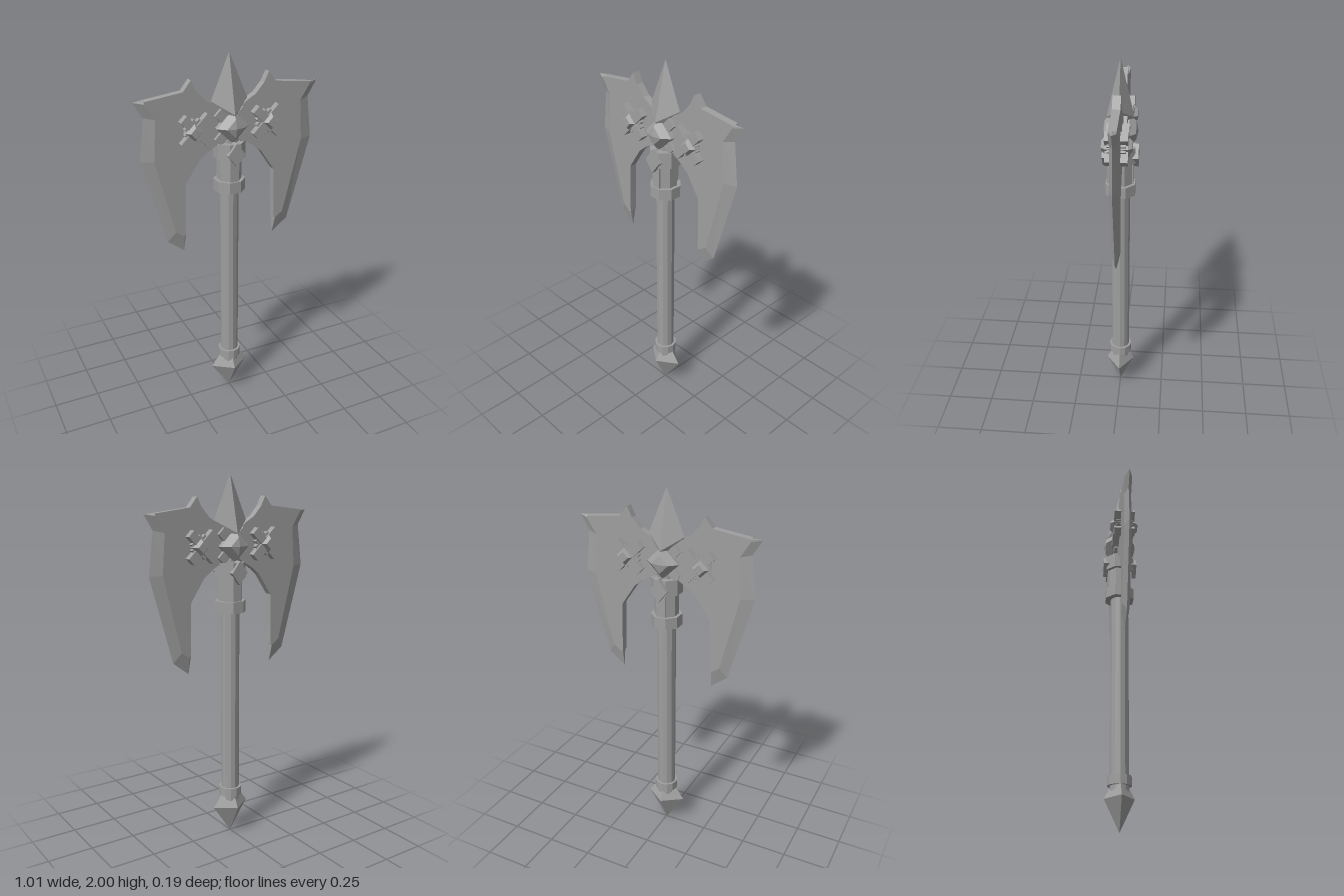
import * as THREE from 'three';

const material = new THREE.MeshStandardMaterial({ color: 0x9f9f9f, flatShading: true });

function add(parent, name, geometry, x = 0, y = 0, z = 0) {
  const mesh = new THREE.Mesh(geometry, material);
  mesh.name = name;
  mesh.position.set(x, y, z);
  parent.add(mesh);
  return mesh;
}

// Turned part along y; profile runs bottom to top as [radius, y].
function turned(profile, sides) {
  return new THREE.LatheGeometry(profile.map(([r, y]) => new THREE.Vector2(r, y)), sides);
}

// Square stud along z, mirrored front to back; profile is [radius, z] from the middle outward.
function stud(profile) {
  const back = profile.map(([r, z]) => [r, -z]).reverse();
  return turned([...back, ...profile], 4).rotateX(Math.PI / 2);
}

// Two bars crossing at right angles, turned 45 degrees.
function addCross(parent, name, length, width, depth) {
  for (const angle of [Math.PI / 4, -Math.PI / 4]) {
    add(parent, name, new THREE.BoxGeometry(length, width, depth)).rotation.z = angle;
  }
}

// Blade outline, counter-clockwise: [x, y] of the flat face, then the sharpened rim where it differs.
const outline = [
  [0, 1.56], [0.08, 1.54], [0.13, 1.51], [0.175, 1.474], [0.254, 1.357], [0.26, 1.18], [0.261, 1.075],
  [0.27, 1.068, 0.265, 0.976], [0.315, 1.1, 0.355, 1.045], [0.415, 1.505, 0.483, 1.505],
  [0.4, 1.715, 0.455, 1.727], [0.452, 1.797, 0.503, 1.807], [0.45, 1.809],
  [0.254, 1.833], [0.212, 1.886], [0.185, 1.833], [0.138, 1.78], [0.085, 1.75], [0, 1.68],
];

function bladeGeometry(thickness) {
  const n = outline.length;
  const flat = outline.map(([x, y]) => new THREE.Vector2(x, y));
  const positions = [];
  const index = [];
  // Rings: front face, rim, back face
  for (const p of flat) positions.push(p.x, p.y, thickness);
  for (const [x, y, rx = x, ry = y] of outline) positions.push(rx, ry, 0);
  for (const p of flat) positions.push(p.x, p.y, -thickness);
  for (const [a, b, c] of THREE.ShapeUtils.triangulateShape(flat, [])) {
    index.push(a, b, c, 2 * n + a, 2 * n + c, 2 * n + b);
  }
  for (let ring = 0; ring < 2; ring++) {
    for (let i = 0; i < n; i++) {
      const a = ring * n + i, b = ring * n + (i + 1) % n;
      index.push(a, a + n, b, b, a + n, b + n);
    }
  }
  const g = new THREE.BufferGeometry();
  g.setAttribute('position', new THREE.Float32BufferAttribute(positions, 3));
  g.setIndex(index);
  g.computeVertexNormals();
  return g;
}

// Four-sided spike whose side corners sit higher than its front and back ridges.
function spikeGeometry() {
  const g = new THREE.BufferGeometry();
  g.setAttribute('position', new THREE.Float32BufferAttribute([
    0, 2, 0, 0.1, 1.765, 0, 0, 1.7, 0.07, -0.1, 1.765, 0, 0, 1.7, -0.07, 0, 1.58, 0,
  ], 3));
  const index = [];
  for (let i = 0; i < 4; i++) {
    const a = 1 + i, b = 1 + (i + 1) % 4;
    index.push(0, b, a, 5, a, b);
  }
  g.setIndex(index);
  g.computeVertexNormals();
  return g;
}

export function createModel() {
  const model = new THREE.Group();
  model.name = 'doubleAxe';

  // Handle, its collars and the pommel
  add(model, 'shaft', new THREE.CylinderGeometry(0.05, 0.05, 1.38, 12), 0, 0.89);
  add(model, 'lowerCollar', new THREE.CylinderGeometry(0.063, 0.063, 0.05, 12), 0, 0.255);
  const pommel = add(model, 'pommel', turned([[0, 0], [0.111, 0.165], [0.062, 0.232], [0, 0.232]], 4));
  pommel.scale.z = 0.7;

  // Octagonal socket with two bands and a strip on each side
  const octagon = (r, h) =>
    new THREE.CylinderGeometry(r / Math.cos(Math.PI / 8), r / Math.cos(Math.PI / 8), h, 8).rotateY(Math.PI / 8);
  add(model, 'socket', octagon(0.06, 0.26), 0, 1.42);
  add(model, 'socketBandLower', octagon(0.077, 0.062), 0, 1.314);
  add(model, 'socketBandUpper', octagon(0.077, 0.085), 0, 1.507);
  add(model, 'socketStrip', new THREE.BoxGeometry(0.05, 0.17, 0.136), 0, 1.385);
  add(model, 'socketDiamond', stud([[0.048, 0.093], [0, 0.093]]), 0, 1.498).scale.y = 1.3;

  // Top spike, the faceted gem at the centre of the head and the crossed bars behind it
  add(model, 'topSpike', spikeGeometry());
  add(model, 'centreGem', stud([[0.088, 0.045], [0.048, 0.08], [0, 0.09]]), 0, 1.633);
  const hub = new THREE.Group();
  hub.name = 'hubCross';
  hub.position.y = 1.635;
  model.add(hub);
  addCross(hub, 'hubBar', 0.22, 0.05, 0.076);

  // Each side: blade with crossed straps; the head is symmetric front to back
  const blade = bladeGeometry(0.02);
  ['left', 'right'].forEach((label, i) => {
    const side = new THREE.Group();
    side.name = label + 'Blade';
    side.rotation.y = i * Math.PI;
    model.add(side);
    add(side, 'blade', blade);

    const fitting = new THREE.Group();
    fitting.name = 'crossFitting';
    fitting.position.set(0.197, 1.637, 0);
    side.add(fitting);
    addCross(fitting, 'strap', 0.2, 0.045, 0.112);
    addCross(fitting, 'strapPad', 0.11, 0.07, 0.09);
    add(fitting, 'boss', stud([[0.046, 0.055], [0.028, 0.075], [0, 0.075]]), 0.015);
  });
  return model;
}
